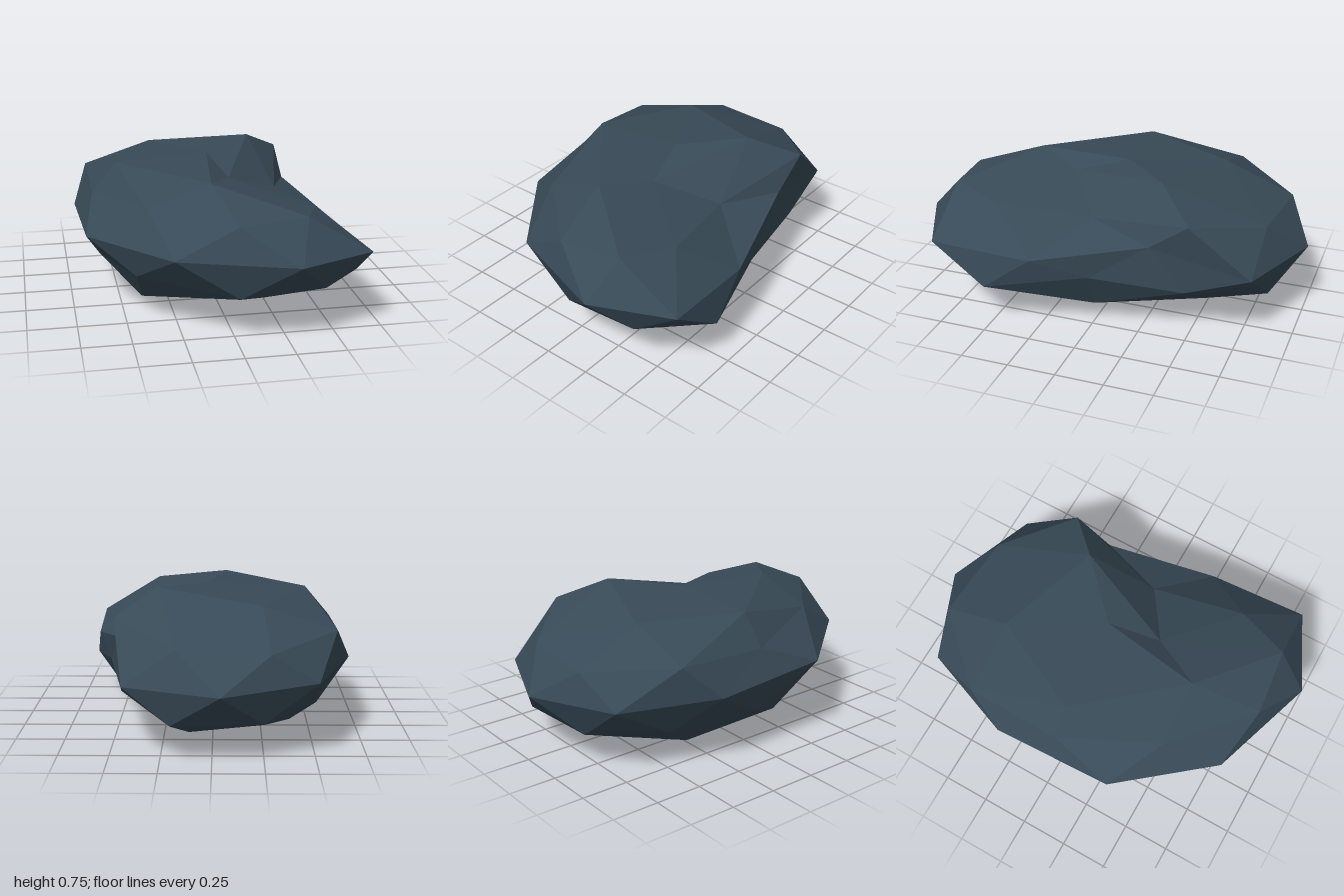
import * as THREE from 'three';

// Cross-section loops, running from +x towards +z
const TOP = [0, 0.73, -0.03];
const UPPER_CAP = [
  [0.07, 0.66, 0.24], [-0.07, 0.71, 0.5], [-0.49, 0.705, 0], [-0.25, 0.69, -0.5], [0.28, 0.75, -0.3],
];
const UPPER_RING = [
  [0.36, 0.54, 0.05], [0.45, 0.58, 0.54], [0.34, 0.62, 0.82], [0, 0.6, 0.86], [-0.39, 0.6, 0.51],
  [-0.62, 0.55, 0], [-0.62, 0.57, -0.5], [-0.28, 0.53, -0.86], [0.17, 0.54, -0.82], [0.49, 0.63, -0.5],
];
const MIDDLE = [
  [0.65, 0.39, 0.28], [0.67, 0.42, 0.81], [0.27, 0.43, 1], [-0.3, 0.43, 0.81], [-0.68, 0.42, 0.34],
  [-0.7, 0.39, -0.31], [-0.51, 0.38, -0.81], [-0.04, 0.36, -1], [0.43, 0.36, -0.81], [0.49, 0.49, -0.3],
];
const LOWER_RING = [
  [0.56, 0.3, 0], [0.69, 0.22, 0.52], [0.43, 0.26, 0.84], [0.01, 0.23, 0.84], [-0.45, 0.26, 0.53],
  [-0.59, 0.2, 0], [-0.52, 0.2, -0.5], [-0.25, 0.18, -0.82], [0.2, 0.18, -0.85], [0.46, 0.25, -0.48],
];
const LOWER_CAP = [
  [0.46, 0.1, 0], [0.2, 0.1, 0.53], [-0.4, 0.06, 0.3], [-0.4, 0.05, -0.3], [0.12, 0.04, -0.5],
];
const BOTTOM = [0, 0, 0];

const at = (loop, i) => loop[(i + loop.length) % loop.length];

function rockGeometry() {
  const points = [];

  // One half: pole fan, cap to ring, ring to the shared middle loop
  function half(pole, cap, ring, offset, flip) {
    const face = (a, b, c) => (flip ? points.push(...a, ...c, ...b) : points.push(...a, ...b, ...c));
    for (let j = 0; j < 5; j++) {
      const i = offset + 2 * j;
      const c = cap[j], next = at(cap, j + 1);
      face(pole, next, c);
      face(c, at(ring, i), at(ring, i - 1));
      face(c, at(ring, i + 1), at(ring, i));
      face(c, next, at(ring, i + 1));
    }
    for (let i = 0; i < 10; i++) {
      face(ring[i], MIDDLE[i], at(MIDDLE, i - 1));
      face(ring[i], at(ring, i + 1), MIDDLE[i]);
    }
  }
  half(TOP, UPPER_CAP, UPPER_RING, 1, false);
  half(BOTTOM, LOWER_CAP, LOWER_RING, 0, true);

  const geometry = new THREE.BufferGeometry();
  geometry.setAttribute('position', new THREE.Float32BufferAttribute(points.flat(), 3));
  geometry.computeVertexNormals();
  return geometry;
}

export function createModel() {
  const group = new THREE.Group();
  group.name = 'boulder';
  const stone = new THREE.MeshStandardMaterial({ color: 0x384a57, flatShading: true });
  stone.name = 'slate stone';
  const rock = new THREE.Mesh(rockGeometry(), stone);
  rock.name = 'rock';
  group.add(rock);
  return group;
}
